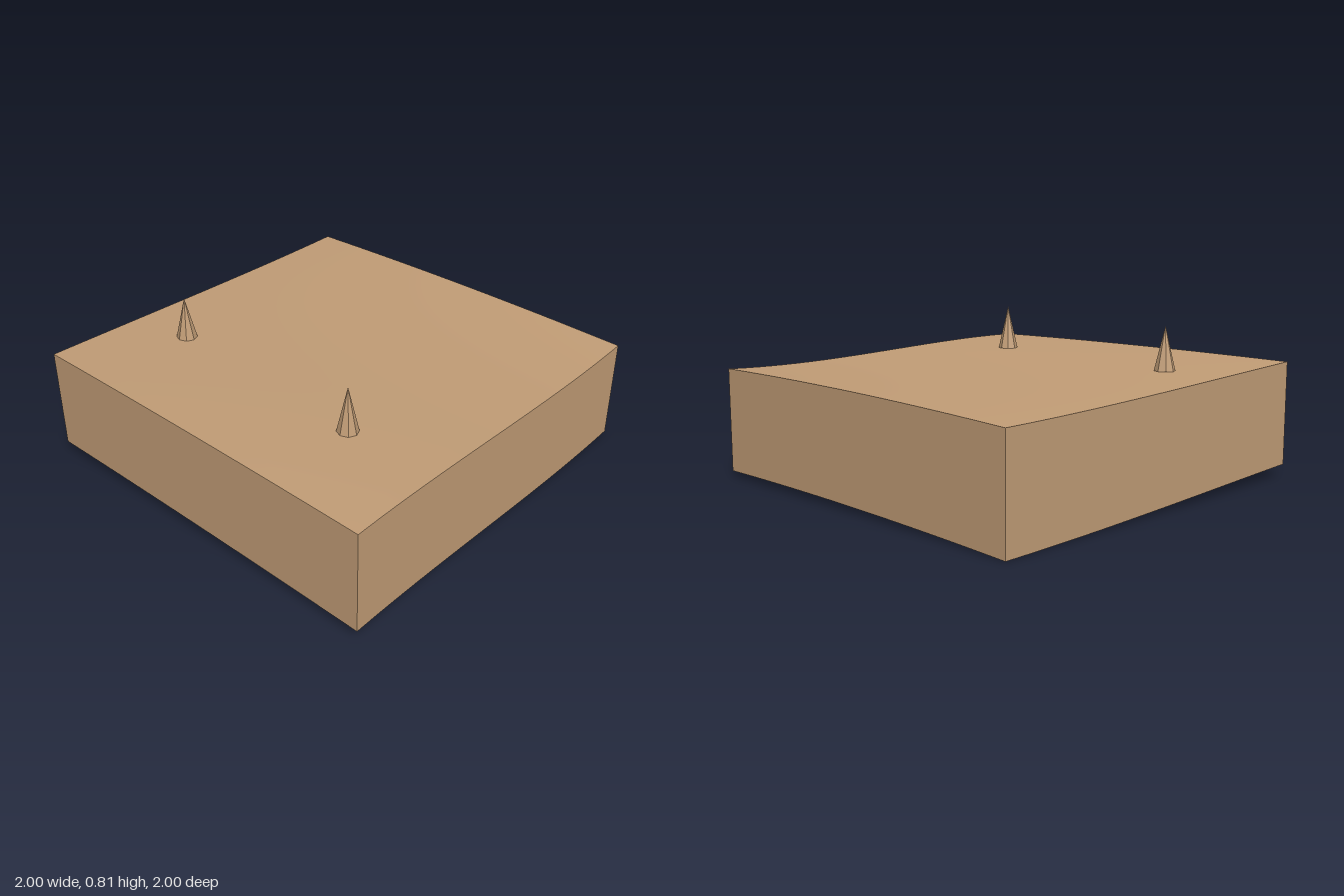
import * as THREE from 'three';

const DEPTH = 0.53;
const N = 24;

// Control heights: rows run back to front, columns run from x = -1 to x = 1
const NODES_X = [-1, -1 / 3, 1 / 3, 1];
const NODES_Z = [-1, 0, 1];
const HEIGHTS = [
  [0.595, 0.568, 0.543, 0.53],
  [0.597, 0.574, 0.553, 0.558],
  [0.583, 0.575, 0.55, 0.557],
];

// Smooth curve through the given values
function interpolate(nodes, values, t) {
  return values.reduce((sum, v, i) => {
    let w = 1;
    nodes.forEach((n, j) => { if (j !== i) w *= (t - n) / (nodes[i] - n); });
    return sum + v * w;
  }, 0);
}

const height = (x, z) =>
  interpolate(NODES_Z, HEIGHTS.map((row) => interpolate(NODES_X, row, x)), z);

// Wall of constant depth hanging from one edge of the ground
function wallGeometry(from, to) {
  const geo = new THREE.PlaneGeometry(2, DEPTH, N, 1);
  const pos = geo.attributes.position;
  for (let i = 0; i < pos.count; i++) {
    const t = (pos.getX(i) + 1) / 2;
    const x = from[0] + (to[0] - from[0]) * t;
    const z = from[1] + (to[1] - from[1]) * t;
    pos.setXYZ(i, x, height(x, z) - (pos.getY(i) > 0 ? 0 : DEPTH), z);
  }
  geo.computeVertexNormals();
  return geo;
}

export function createModel() {
  const group = new THREE.Group();
  const sand = new THREE.MeshStandardMaterial({ color: 0xc39e77, side: THREE.DoubleSide });
  sand.name = 'sand';

  const add = (name, geo) => {
    const mesh = new THREE.Mesh(geo, sand);
    mesh.name = name;
    group.add(mesh);
    return mesh;
  };

  // Gently rolling ground
  const ground = new THREE.PlaneGeometry(2, 2, N, N).rotateX(-Math.PI / 2);
  const pos = ground.attributes.position;
  for (let i = 0; i < pos.count; i++) pos.setY(i, height(pos.getX(i), pos.getZ(i)));
  ground.computeVertexNormals();
  add('ground', ground);

  // Four walls, open underneath
  add('frontWall', wallGeometry([-1, 1], [1, 1]));
  add('leftWall', wallGeometry([1, 1], [1, -1]));
  add('backWall', wallGeometry([1, -1], [-1, -1]));
  add('rightWall', wallGeometry([-1, -1], [-1, 1]));

  // Faceted spikes standing on the ground
  const spikes = [
    { name: 'frontSpike', x: -0.5, z: 0.5, tip: 0.815 },
    { name: 'backSpike', x: -0.42, z: -0.67, tip: 0.795 },
  ];
  for (const { name, x, z, tip } of spikes) {
    const base = height(x, z);
    const h = tip - base;
    const cone = new THREE.ConeGeometry(0.053, h, 8, 1, true).toNonIndexed();
    cone.computeVertexNormals();
    add(name, cone).position.set(x, base + h / 2, z);
  }

  return group;
}
